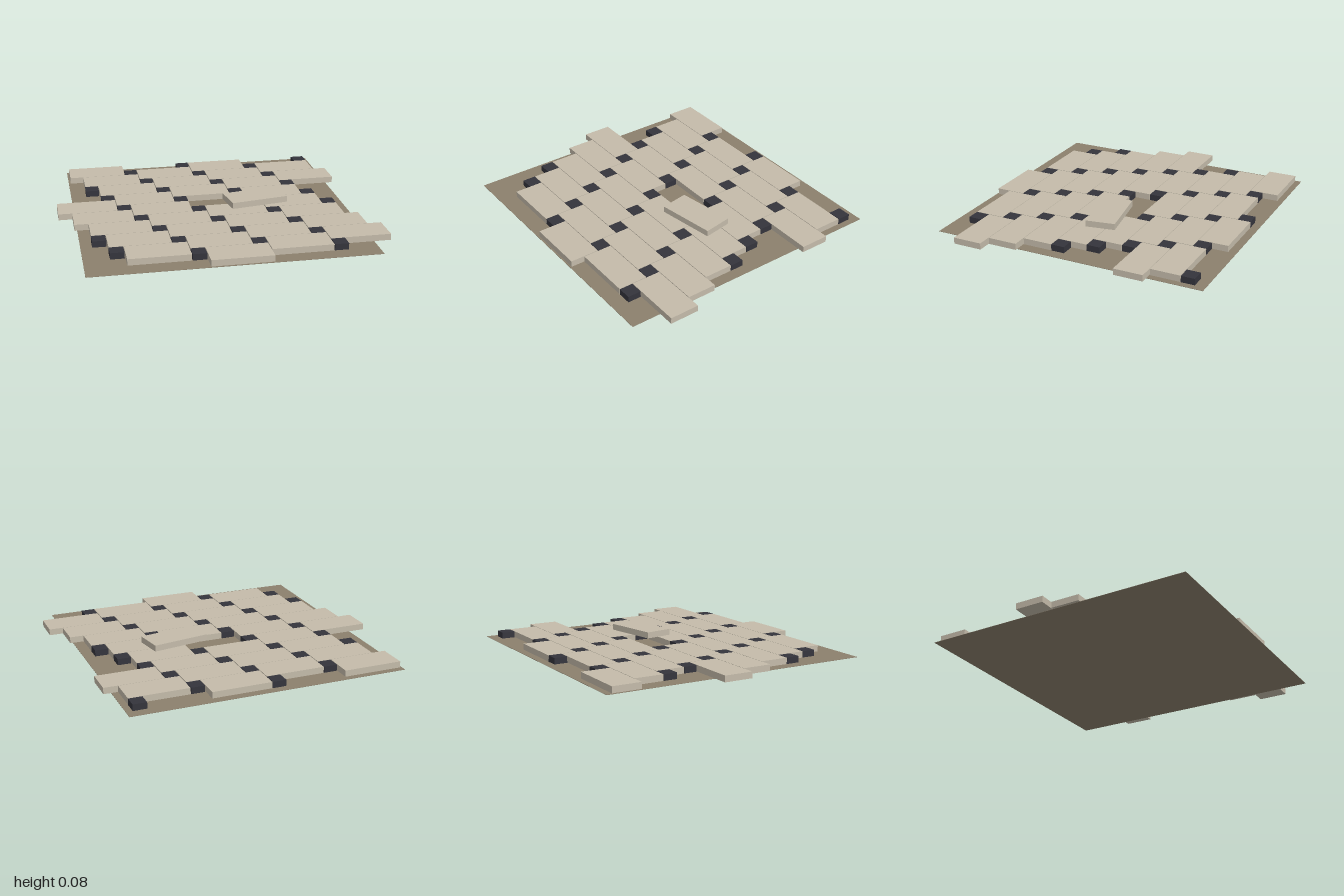
import * as THREE from 'three';

const PLANK_L = 0.384, PLANK_W = 0.19, TILE = 0.087;   // piece sizes
const PITCH_L = 0.389, PITCH_W = 0.1932, STEP = 0.0898; // pattern pitches
const BASE = 0.002, TOP = 0.0425;

// Column ranges [first, last] for each row of the pinwheel pattern
const plankRows = [[0, 0], [0, 2], [0, 3], [-1, 3], [-1, 2], [-1, 2], [-1, 2], [-1, 2], [0, 2]];
const tileRows = [[0, 1], [-1, 3], [-1, 2], [-1, 2], [-1, 2], [-2, 2], [-2, 1], [-1, 1], [1, 1]];

export function createModel() {
  const group = new THREE.Group();
  const mat = (name, color) => {
    const m = new THREE.MeshStandardMaterial({ color });
    m.name = name;
    return m;
  };
  const stone = mat('pale stone', 0xc4bbaa);
  const dark = mat('dark slate', 0x34343c);
  const mortar = mat('brown bed', 0x8c806d);

  const add = (name, geometry, material, x, y, z) => {
    const mesh = new THREE.Mesh(geometry, material);
    mesh.name = name;
    mesh.position.set(x, y, z);
    group.add(mesh);
    return mesh;
  };

  // Thin bed under the paving
  add('bed', new THREE.BoxGeometry(1.786, BASE, 1.786), mortar, 0, BASE / 2, 0);

  const h = TOP - BASE, y = BASE + h / 2;
  const slabGeo = new THREE.BoxGeometry(PLANK_L, h, PLANK_W);
  const tileGeo = new THREE.BoxGeometry(TILE, h, TILE);

  // Back left corner of a pattern cell
  const cell = (i, j) => [-0.88 + i * STEP + j * PITCH_L, -0.854 + i * PITCH_W - j * STEP];

  // Long slabs, with one left out
  plankRows.forEach(([a, b], i) => {
    for (let j = a; j <= b; j++) {
      if (i === 4 && j === 1) continue;
      const [x, z] = cell(i, j);
      add('longSlab', slabGeo, stone, x + PLANK_L / 2, y, z + PLANK_W / 2);
    }
  });

  // Small square tiles at the end of each slab
  tileRows.forEach(([a, b], i) => {
    for (let j = a; j <= b; j++) {
      const [x, z] = cell(i, j);
      add('squareTile', tileGeo, dark, x + PITCH_L + TILE / 2 - 0.001, y, z + PLANK_W - TILE / 2);
    }
  });

  // Lifted slab lying loose beside its gap
  add('looseSlab', slabGeo, stone, 0.3, TOP + h / 2 + 0.001, -0.004).rotation.y = 0.165;

  return group;
}
